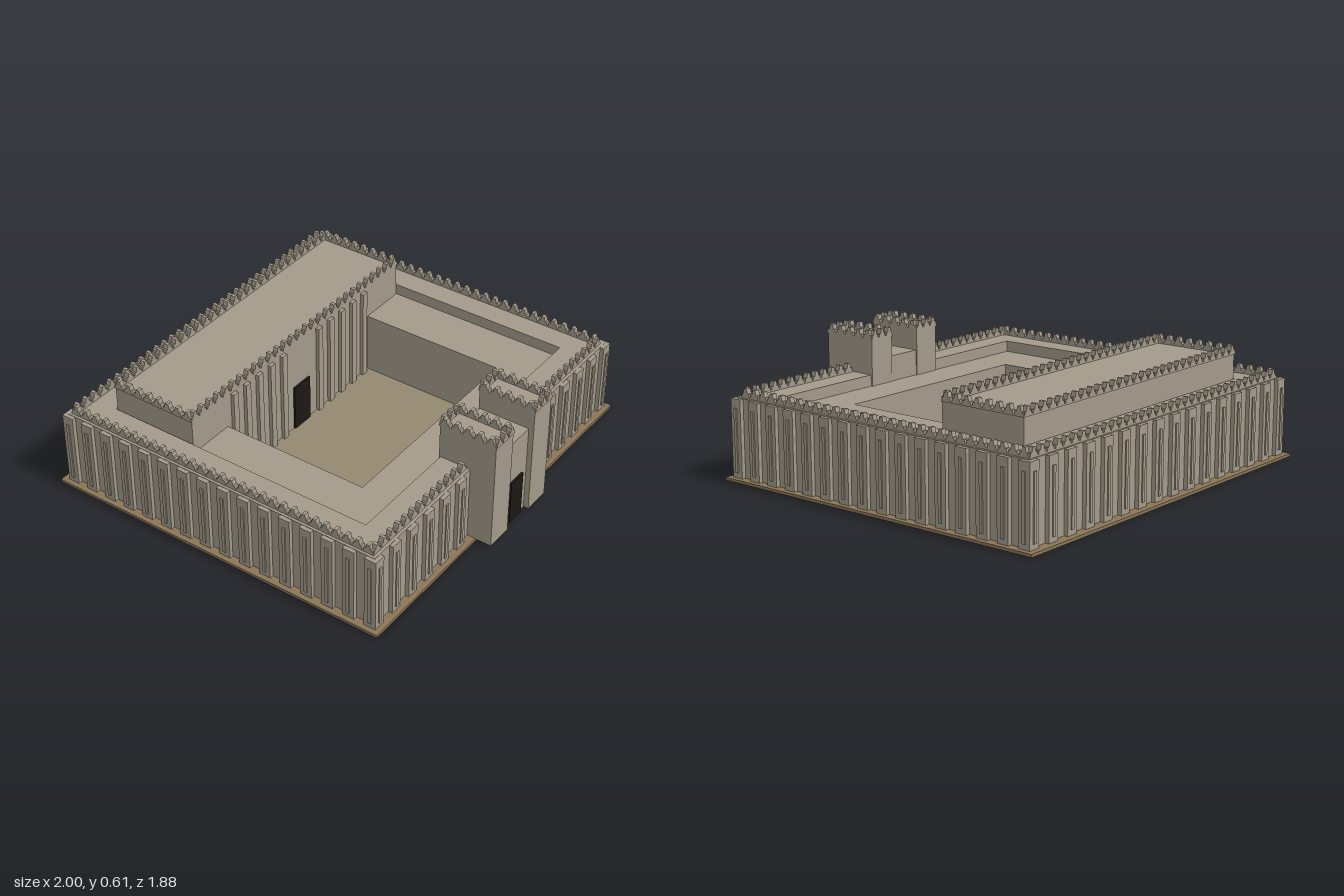
import * as THREE from 'three';

const mat = (color) => new THREE.MeshStandardMaterial({ color, flatShading: true });

export function createModel() {
  const model = new THREE.Group();
  const stone = mat(0xa39a8a), earth = mat(0x8a7556), court = mat(0x93886f);
  const dark = mat(0x1c1814), wood = mat(0x7a5a3c);

  const mesh = (name, geometry, material, parent = model) => {
    const m = new THREE.Mesh(geometry, material);
    m.name = name;
    parent.add(m);
    return m;
  };
  const group = (name) => {
    const g = new THREE.Group();
    g.name = name;
    model.add(g);
    return g;
  };
  // Box given by its limits on each axis
  const block = (name, [x0, x1], [y0, y1], [z0, z1], material = stone, parent = model) => {
    const m = mesh(name, new THREE.BoxGeometry(x1 - x0, y1 - y0, z1 - z0), material, parent);
    m.position.set((x0 + x1) / 2, (y0 + y1) / 2, (z0 + z1) / 2);
    return m;
  };
  // Rectangular ring, symmetric in x, open in the middle
  const ring = (name, xo, zo, xi, zi, y0, y1) => {
    const rect = (x, [z0, z1]) => [[-x, -z1], [x, -z1], [x, -z0], [-x, -z0]]
      .map(([a, b]) => new THREE.Vector2(a, b));
    const shape = new THREE.Shape(rect(xo, zo));
    shape.holes.push(new THREE.Path(rect(xi, zi)));
    const g = new THREE.ExtrudeGeometry(shape, { depth: y1 - y0, bevelEnabled: false });
    g.rotateX(-Math.PI / 2).translate(0, y0, 0);
    return mesh(name, g, stone);
  };
  // Row of stepped merlons on a low sill, running from (x0, z0) to (x1, z1)
  const merlon = [[0.08, 0.008], [0.12, 0.022], [0.26, 0.022], [0.36, 0.045],
    [0.64, 0.045], [0.74, 0.022], [0.88, 0.022], [0.92, 0.008]];
  const parapetRun = (parent, y, x0, z0, x1, z1, depth = 0.025) => {
    const length = Math.hypot(x1 - x0, z1 - z0);
    const n = Math.round(length / 0.055), pitch = length / n;
    const pts = [new THREE.Vector2(0, 0)];
    pts.push(new THREE.Vector2(0, 0.008));
    for (let i = 0; i < n; i++)
      for (const [u, h] of merlon) pts.push(new THREE.Vector2((i + u) * pitch, h));
    pts.push(new THREE.Vector2(length, 0.008), new THREE.Vector2(length, 0));
    const g = new THREE.ExtrudeGeometry(new THREE.Shape(pts), { depth, bevelEnabled: false });
    g.translate(0, 0, -depth / 2);
    const m = mesh('parapetRun', g, stone, parent);
    m.position.set(x0, y, z0);
    m.rotation.y = Math.atan2(z0 - z1, x1 - x0);
  };
  // Parapet around all four sides of a roof
  const parapet = (name, y, x0, x1, z0, z1) => {
    const g = group(name), d = 0.0125;
    for (const z of [z0 + d, z1 - d]) parapetRun(g, y, x0, z, x1, z);
    for (const x of [x0 + d, x1 - d]) parapetRun(g, y, x, z0, x, z1);
  };

  // Ground plate and courtyard floor
  block('groundPlate', [-1, 1], [0.001, 0.015], [-0.94, 0.855], earth);
  block('courtyardFloor', [-0.56, 0.56], [0, 0.022], [-0.3, 0.47], court);
  block('courtyardWell', [-0.437, -0.367], [0, 0.06], [0.17, 0.24], wood);

  // Outer range of rooms and the lower range around the courtyard
  ring('outerRange', 0.955, [-0.89, 0.81], 0.8, [-0.74, 0.655], 0, 0.39);
  ring('innerRange', 0.801, [-0.32, 0.656], 0.55, [-0.3, 0.46], 0, 0.335);

  // Buttresses with a slim central rib on every outer face
  const buttresses = group('wallButtresses');
  const buttress = (x, z, angle) => {
    const b = new THREE.Group();
    b.name = 'buttress';
    block('buttressShaft', [-0.03, 0.03], [0.015, 0.388], [-0.01, 0.02], stone, b);
    block('buttressRib', [-0.008, 0.008], [0.04, 0.345], [0.01, 0.026], stone, b);
    b.position.set(x, 0, z);
    b.rotation.y = angle;
    buttresses.add(b);
  };
  for (let i = 0; i <= 15; i++) {
    const x = -0.945 + i * 0.126, z = -0.88 + i * 0.112;
    if (Math.abs(x) > 0.25) buttress(x, 0.81, 0);
    buttress(x, -0.89, Math.PI);
    buttress(0.955, z, Math.PI / 2);
    buttress(-0.955, z, -Math.PI / 2);
  }

  // Outer parapet, interrupted at the gate
  const outer = group('outerParapet');
  parapetRun(outer, 0.39, -0.942, -0.87, 0.942, -0.87);
  for (const s of [-1, 1]) {
    parapetRun(outer, 0.39, s * 0.93, -0.88, s * 0.93, 0.795);
    parapetRun(outer, 0.39, s < 0 ? -0.942 : 0.235, 0.783, s < 0 ? -0.235 : 0.942, 0.783);
  }

  // Great hall at the back, with a ribbed front on the courtyard
  block('hall', [-0.795, 0.795], [0.003, 0.51], [-0.735, -0.29]);
  parapet('hallParapet', 0.51, -0.8, 0.8, -0.74, -0.287);
  const ribs = group('hallRibs');
  for (const s of [-1, 1])
    for (let i = 0; i < 5; i++) {
      const x = s * (0.14 + i * 0.091);
      block('hallRib', [x - 0.017, x + 0.017], [0.02, 0.5], [-0.3, -0.272], stone, ribs);
    }
  block('hallDoor', [-0.06, 0.06], [0.02, 0.26], [-0.295, -0.28], dark);

  // Gatehouse with twin towers
  block('gateBlock', [-0.092, 0.092], [0.012, 0.46], [0.652, 0.91]);
  block('gateDoor', [-0.05, 0.05], [0.014, 0.24], [0.9, 0.921], dark);
  for (const s of [-1, 1]) {
    const xs = [s * 0.16 - 0.07, s * 0.16 + 0.07];
    block(s > 0 ? 'leftTower' : 'rightTower', xs, [0.012, 0.562], [0.647, 0.936]);
    parapet(s > 0 ? 'leftTowerParapet' : 'rightTowerParapet', 0.56,
      xs[0] - 0.004, xs[1] + 0.004, 0.643, 0.94);
  }

  return model;
}
